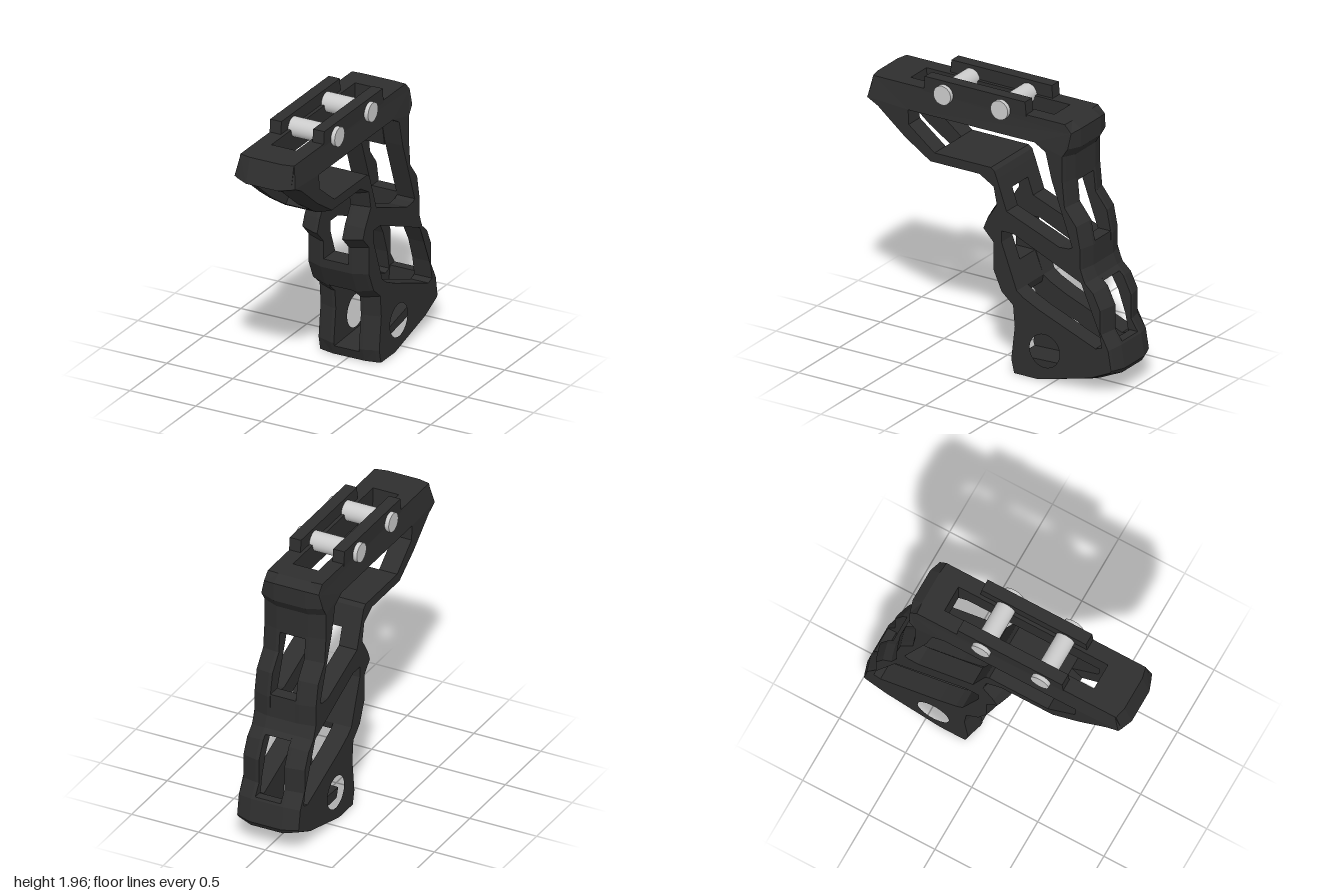
import * as THREE from 'three';

const dark = new THREE.MeshStandardMaterial({ color: 0x2e2e2e, flatShading: true });
const metal = new THREE.MeshStandardMaterial({ color: 0xcccccc });

// All profiles are side outlines given as [z, y].
const OUTLINE = [
  [1, 1.7], [0.945, 1.87], [-0.587, 1.87], [-0.657, 1.83], [-0.657, 1.7], [-0.614, 1.635],
  [-0.614, 1.46], [-0.63, 1.295], [-0.72, 1.18], [-0.753, 1.015], [-0.753, 0.87], [-0.786, 0.795],
  [-0.85, 0.737], [-0.91, 0.613], [-0.91, 0.44], [-0.973, 0.345], [-1, 0.185], [-0.98, 0.15],
  [-0.807, 0.07], [-0.394, 0], [-0.175, 0], [-0.142, 0.094], [-0.17, 0.335], [-0.158, 0.47],
  [-0.072, 0.544], [-0.003, 0.7], [-0.003, 0.89], [0.083, 0.98], [0.045, 1.074], [-0.03, 1.19],
  [-0.008, 1.283], [0.083, 1.336], [0.47, 1.336], [0.678, 1.47], [0.9, 1.65],
];
const UPPER_HOLE = [
  [0.635, 1.7], [0.63, 1.595], [0.427, 1.438], [-0.017, 1.438], [-0.045, 1.416], [-0.065, 1.365],
  [-0.14, 1.15], [-0.555, 0.99], [-0.63, 0.995], [-0.657, 1.01], [-0.495, 1.46], [-0.447, 1.65], [-0.36, 1.7],
];
const LOWER_HOLE = [
  [-0.1, 1], [-0.1, 0.92], [-0.22, 0.597], [-0.27, 0.56], [-0.394, 0.5], [-0.84, 0.325],
  [-0.89, 0.34], [-0.866, 0.47], [-0.81, 0.63], [-0.73, 0.77], [-0.195, 1],
];
const SLOT = 0.095; // half width of the central slot

const toPoints = (list) => list.map(([z, y]) => new THREE.Vector2(-z, y));
const key = (x, y) => `${x.toFixed(3)},${y.toFixed(3)}`;

// Inward mitre direction for every outline corner; top and bottom edges stay level.
function insetDirections(points) {
  const map = new Map();
  points.forEach((p, i) => {
    const prev = points[(i + points.length - 1) % points.length];
    const next = points[(i + 1) % points.length];
    const a = p.clone().sub(prev).normalize();
    const b = next.clone().sub(p).normalize();
    const n1 = new THREE.Vector2(a.y, -a.x);
    const n2 = new THREE.Vector2(b.y, -b.x);
    const m = n1.clone().add(n2).divideScalar(Math.max(1 + n1.dot(n2), 0.7));
    if (p.y >= 1.87 || p.y <= 0) m.y = 0;
    map.set(key(p.x, p.y), m);
  });
  return map;
}

// One cheek of the frame, chamfered along its outer outline only.
function cheekGeometry() {
  const points = toPoints(OUTLINE);
  const shape = new THREE.Shape(points);
  shape.holes.push(new THREE.Path(toPoints(UPPER_HOLE)), new THREE.Path(toPoints(LOWER_HOLE)));
  shape.holes.push(new THREE.Path().absarc(0.44, 0.215, 0.118, 0, Math.PI * 2, true));
  const geo = new THREE.ExtrudeGeometry(shape, { depth: 3, steps: 3, bevelEnabled: false, curveSegments: 24 });
  const layerX = [SLOT, 0.12, 0.205, 0.23];
  const layerInset = [0, 0, 0.025, 0.035];
  const inset = insetDirections(points);
  const pos = geo.attributes.position;
  for (let i = 0; i < pos.count; i++) {
    const x = pos.getX(i), y = pos.getY(i), layer = Math.round(pos.getZ(i));
    const m = inset.get(key(x, y));
    const s = m ? layerInset[layer] : 0;
    // The upper body narrows toward the deck
    const limit = 0.23 - 0.027 * THREE.MathUtils.clamp((y - 1.7) / 0.17, 0, 1);
    pos.setXYZ(i, x + (m ? m.x * s : 0), y + (m ? m.y * s : 0), Math.min(layerX[layer], limit));
  }
  geo.rotateY(Math.PI / 2);
  geo.computeVertexNormals();
  return geo;
}

// Cross pieces that join the two cheeks between the slots
const BRIDGES = {
  bottomBridge: [
    [-0.175, 0], [-0.15, 0.07], [-0.55, 0.085], [-0.8, 0.14], [-0.88, 0.2], [-0.9, 0.36], [-0.963, 0.36],
    [-0.973, 0.345], [-1, 0.185], [-0.98, 0.15], [-0.807, 0.07], [-0.394, 0],
  ],
  frontLowerBridge: [[-0.072, 0.544], [-0.003, 0.7], [-0.003, 0.76], [-0.155, 0.76], [-0.22, 0.597], [-0.21, 0.544]],
  backMiddleBridge: [[-0.749, 1.035], [-0.753, 0.87], [-0.786, 0.795], [-0.82, 0.765], [-0.735, 0.765], [-0.66, 0.84], [-0.655, 1.035]],
  elbowBridge: [
    [-0.012, 1.27], [-0.008, 1.283], [0.083, 1.336], [0.47, 1.336], [0.505, 1.36], [0.427, 1.438],
    [-0.017, 1.438], [-0.045, 1.416], [-0.065, 1.365], [-0.098, 1.27],
  ],
  backUpperBridge: [
    [-0.43, 1.87], [-0.587, 1.87], [-0.657, 1.83], [-0.657, 1.7], [-0.614, 1.635], [-0.614, 1.44],
    [-0.488, 1.44], [-0.447, 1.65], [-0.43, 1.66],
  ],
  noseBridge: [[0.7, 1.87], [0.945, 1.87], [1, 1.7], [0.925, 1.67], [0.69, 1.67]],
};

function bridgeGeometry(list) {
  const geo = new THREE.ExtrudeGeometry(new THREE.Shape(toPoints(list)), { depth: SLOT * 2, bevelEnabled: false });
  return geo.translate(0, 0, -SLOT).rotateY(Math.PI / 2);
}

export function createModel() {
  const model = new THREE.Group();
  const add = (name, geo, material = dark) => {
    const mesh = new THREE.Mesh(geo, material);
    mesh.name = name;
    model.add(mesh);
    return mesh;
  };

  // Frame cheeks and mounting rails, mirrored left and right
  const cheek = cheekGeometry();
  for (const [side, s] of [['left', 1], ['right', -1]]) {
    add(`${side}Cheek`, cheek).scale.x = s;
    const rail = new THREE.Shape(toPoints([[0.53, 1.85], [0.52, 1.96], [-0.27, 1.96], [-0.28, 1.85]]));
    const railGeo = new THREE.ExtrudeGeometry(rail, { depth: 0.085, bevelEnabled: false });
    railGeo.translate(0, 0, s > 0 ? 0.12 : -0.205).rotateY(Math.PI / 2);
    add(`${side}Rail`, railGeo);
  }

  for (const [name, list] of Object.entries(BRIDGES)) add(name, bridgeGeometry(list));

  // Cross pins through the rails
  for (const [name, z] of [['frontPin', 0.365], ['backPin', -0.085]]) {
    const pin = add(name, new THREE.CylinderGeometry(0.068, 0.068, 0.47, 32).rotateZ(Math.PI / 2), metal);
    pin.position.set(0, 1.867, z);
  }
  return model;
}
